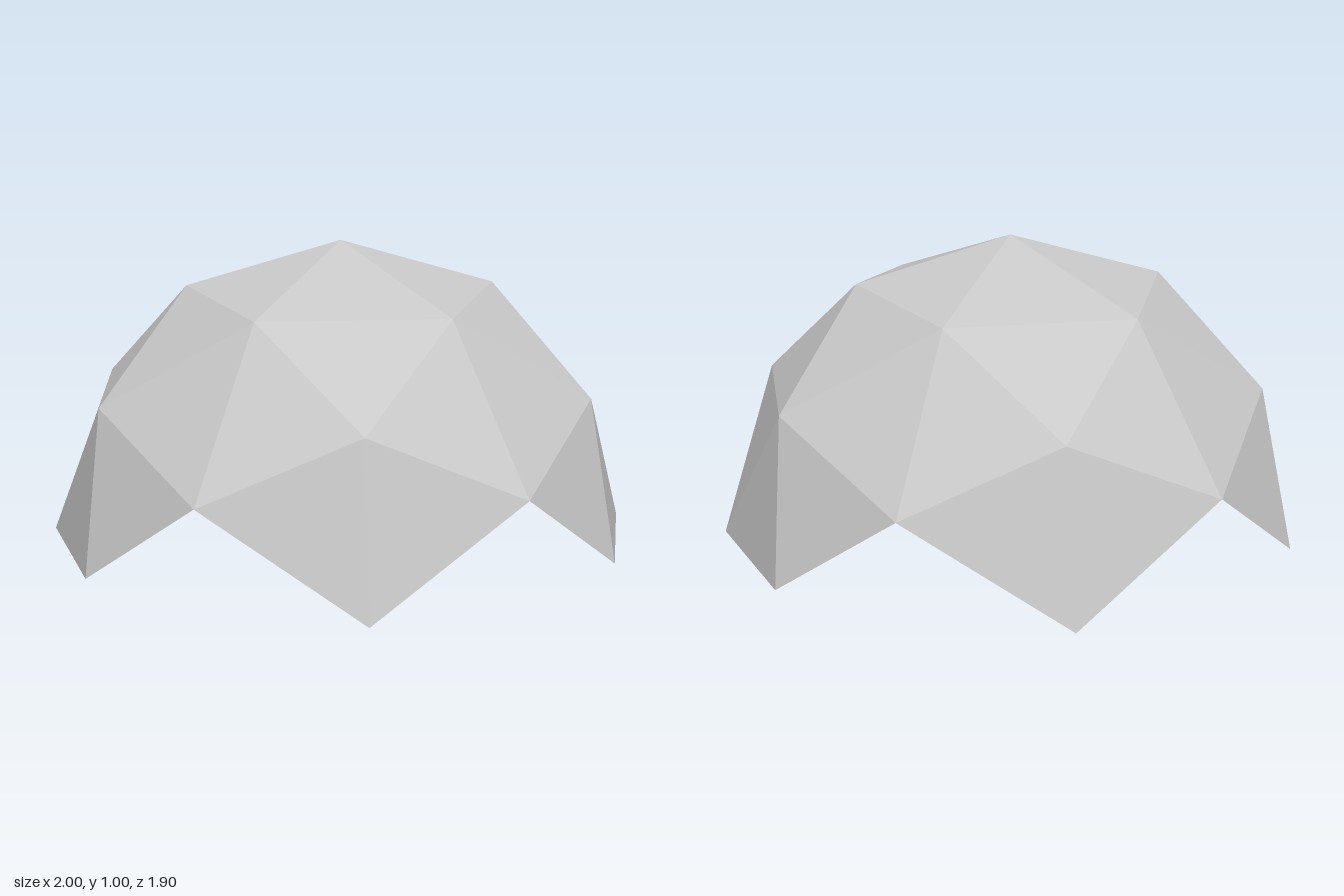
import * as THREE from 'three';

// Upper faces of a two-frequency geodesic sphere; the jagged rim leaves the openings
function domeGeometry() {
  const sphere = new THREE.IcosahedronGeometry(1, 1);
  sphere.rotateY(Math.atan2(0.5257, 0.8507));
  const p = sphere.attributes.position;
  const kept = [];
  for (let i = 0; i < p.count; i += 3) {
    if (Math.min(p.getY(i), p.getY(i + 1), p.getY(i + 2)) < -0.01) continue;
    for (let k = i; k < i + 3; k++) kept.push(p.getX(k), Math.max(0, p.getY(k)), p.getZ(k));
  }
  const geometry = new THREE.BufferGeometry();
  geometry.setAttribute('position', new THREE.Float32BufferAttribute(kept, 3));
  geometry.computeVertexNormals();
  return geometry;
}

// Wall outline with three round-topped arches open at the bottom
function arcadeShape() {
  const left = -0.143, right = 0.137, bottom = 0.02, top = 0.25;
  const radius = 0.025, spring = 0.168;
  const shape = new THREE.Shape();
  shape.moveTo(left, bottom);
  for (const x of [-0.097, -0.003, 0.091]) {
    shape.lineTo(x - radius, bottom);
    shape.lineTo(x - radius, spring);
    shape.absarc(x, spring, radius, Math.PI, 0, true);
    shape.lineTo(x + radius, bottom);
  }
  shape.lineTo(right, bottom);
  shape.lineTo(right, top);
  shape.lineTo(left, top);
  shape.closePath();
  return shape;
}

export function createModel() {
  const model = new THREE.Group();
  model.name = 'geodesicDome';

  const grey = new THREE.MeshStandardMaterial({ color: 0xc8c8c8, flatShading: true, side: THREE.DoubleSide });
  grey.name = 'shell grey';
  const brown = new THREE.MeshStandardMaterial({ color: 0x8d6658 });
  brown.name = 'wood brown';

  const dome = new THREE.Mesh(domeGeometry(), grey);
  dome.name = 'domeShell';
  model.add(dome);

  // Small arcaded panel standing in the centre
  const panel = new THREE.Group();
  panel.name = 'archedPanel';
  const arcade = new THREE.Mesh(
    new THREE.ExtrudeGeometry(arcadeShape(), { depth: 0.038, bevelEnabled: false, curveSegments: 10 }), brown);
  arcade.name = 'arcade';
  arcade.position.z = -0.019;
  panel.add(arcade);

  // Thin wall closing the arches, recessed from both faces
  const backing = new THREE.Mesh(new THREE.BoxGeometry(0.27, 0.2, 0.01), brown);
  backing.name = 'nicheWall';
  backing.position.set(-0.003, 0.121, 0);
  panel.add(backing);
  model.add(panel);

  return model;
}
